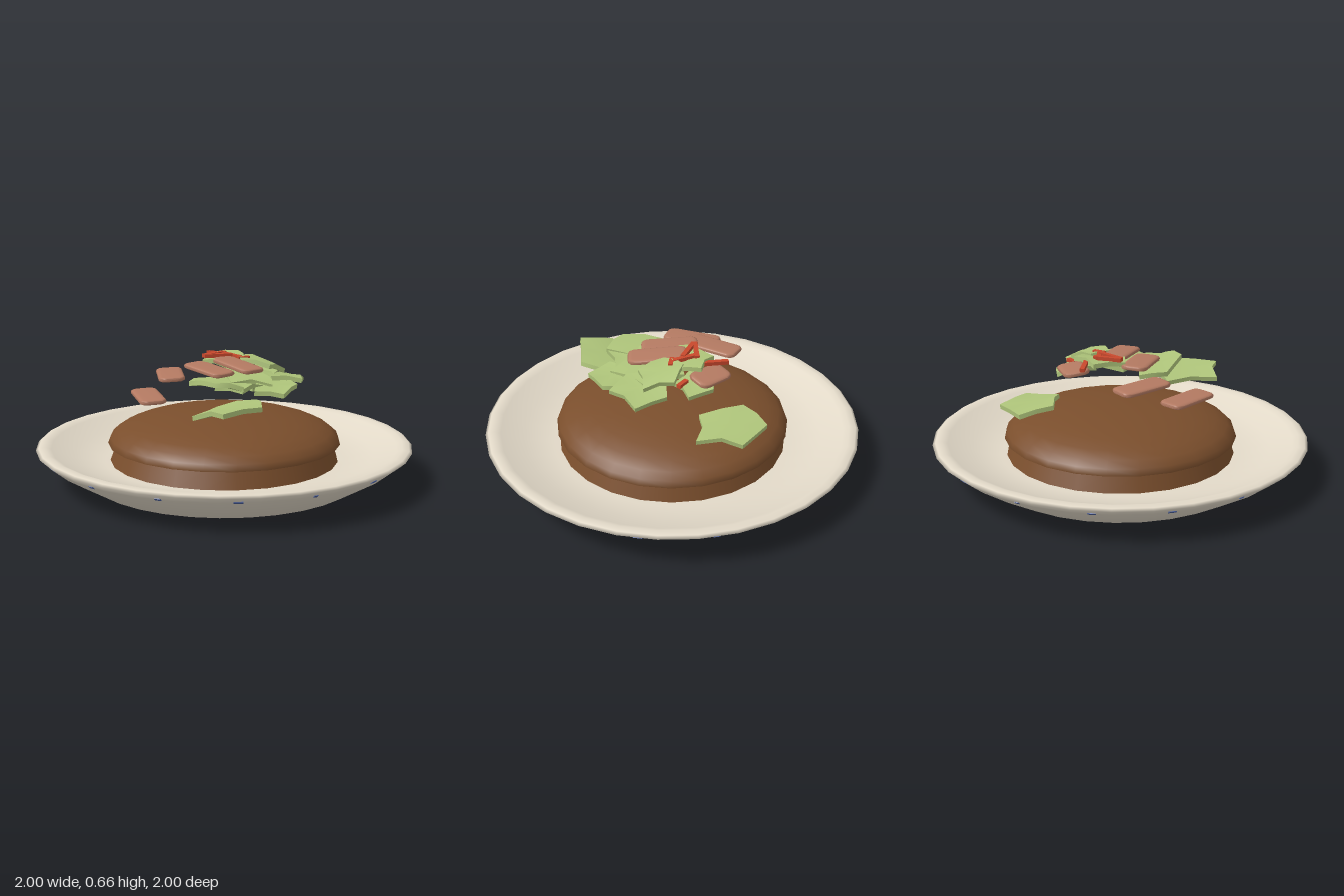
import * as THREE from 'three';
import { toCreasedNormals } from 'three/addons/utils/BufferGeometryUtils.js';

const mat = (name, color, side = THREE.FrontSide) => {
  const m = new THREE.MeshStandardMaterial({ color, side });
  m.name = name;
  return m;
};

// Ragged, gently puckered leaf slab: a fan of top, bottom and edge faces
function leafGeometry(rx, rz, seed) {
  const n = 10, t = 0.012, pos = [];
  const ring = [];
  for (let i = 0; i < n; i++) {
    const a = (i / n) * Math.PI * 2;
    const r = (i % 2 ? 0.82 : 1.06) + 0.07 * Math.sin(seed * 2.3 + i * 2.7);
    const lift = 0.008 * Math.sin(a * 2 + seed) + (i % 2 ? 0.005 : -0.005);
    ring.push([Math.cos(a) * r * rx, lift, Math.sin(a) * r * rz]);
  }
  const up = (p, d) => [p[0], p[1] + d, p[2]];
  const tri = (a, b, c) => pos.push(...a, ...b, ...c);
  for (let i = 0; i < n; i++) {
    const a = ring[i], b = ring[(i + 1) % n];
    const at = up(a, t), bt = up(b, t), ab = up(a, -t), bb = up(b, -t);
    tri([0, t, 0], bt, at);
    tri([0, -t, 0], ab, bb);
    tri(at, bt, bb);
    tri(at, bb, ab);
  }
  const g = new THREE.BufferGeometry();
  g.setAttribute('position', new THREE.Float32BufferAttribute(pos, 3));
  return toCreasedNormals(g, 0.9);
}

// Soft flat slab with rounded corners, long axis on z
function sliceGeometry(w, l) {
  const bevel = 0.022, x = w / 2 - bevel, y = l / 2 - bevel, r = 0.022;
  const s = new THREE.Shape();
  s.moveTo(-x + r, -y);
  s.lineTo(x - r, -y).quadraticCurveTo(x, -y, x, -y + r);
  s.lineTo(x, y - r).quadraticCurveTo(x, y, x - r, y);
  s.lineTo(-x + r, y).quadraticCurveTo(-x, y, -x, y - r);
  s.lineTo(-x, -y + r).quadraticCurveTo(-x, -y, -x + r, -y);
  const g = new THREE.ExtrudeGeometry(s, {
    depth: 0.004, bevelThickness: 0.011, bevelSize: bevel, bevelSegments: 3, curveSegments: 4,
  });
  g.translate(0, 0, -0.002).rotateX(-Math.PI / 2);
  return toCreasedNormals(g, 1.2);
}

export function createModel() {
  const root = new THREE.Group();
  root.name = 'plateOfFood';
  const cream = mat('cream glaze', 0xe2d9c8, THREE.DoubleSide);
  const blue = mat('blue glaze', 0x4a5f9c);
  const brown = mat('baked brown', 0x7a4e2c, THREE.DoubleSide);
  const green = mat('leaf green', 0xaec47a);
  const pink = mat('meat pink', 0xb47a62);
  const red = mat('pepper red', 0xc8482c);

  const add = (name, geometry, material, parent = root) => {
    const m = new THREE.Mesh(geometry, material);
    m.name = name;
    parent.add(m);
    return m;
  };
  // Yaw first, then tilt about the model's axes
  const place = (m, x, y, z, yaw = 0, tiltX = 0, tiltZ = 0) => {
    m.position.set(x, y, z);
    m.rotation.set(tiltX, yaw, tiltZ, 'XZY');
  };
  const group = (name) => {
    const g = new THREE.Group();
    g.name = name;
    root.add(g);
    return g;
  };

  // Plate: flat foot, flared wall, rounded lip and shallow bowl
  const profile = [
    [0, 0], [0.72, 0], [0.915, 0.115], [0.965, 0.155], [1, 0.184], [0.985, 0.196],
    [0.95, 0.2], [0.92, 0.188], [0.8, 0.14], [0.64, 0.105], [0, 0.1],
  ].map(([x, y]) => new THREE.Vector2(x, y));
  add('plate', new THREE.LatheGeometry(profile, 32), cream);

  // Painted flecks below the lip
  const flecks = group('rimFlecks');
  for (let i = 0; i < 16; i++) {
    const a = ((2 * i + 0.5) / 32) * Math.PI * 2;
    const f = add('fleck', new THREE.BoxGeometry(0.034 + 0.014 * Math.sin(i * 2.4), 0.018, 0.008), blue, flecks);
    f.position.set(Math.sin(a) * 0.963, 0.158, Math.cos(a) * 0.963);
    f.rotation.set(0.87, a, 0, 'YXZ');
  }

  // Bread: domed top over a sloping lower layer
  const dome = add('breadTop', new THREE.SphereGeometry(0.62, 24, 8, 0, Math.PI * 2, 0, Math.PI / 2), brown);
  dome.scale.y = 0.17 / 0.62;
  dome.position.y = 0.2;
  dome.rotation.y = Math.PI / 24;
  const base = add('breadBase', new THREE.CylinderGeometry(0.575, 0.612, 0.1, 24), brown);
  base.position.y = 0.148;
  base.rotation.y = Math.PI / 24;

  // Leaves: x, y, z, half width, half depth, yaw, tiltX, tiltZ
  const leaves = group('leaves');
  [
    [0.415, 0.41, -0.245, 0.15, 0.19, 0.2, 0.02, -0.12],
    [-0.27, 0.468, 0.34, 0.21, 0.145, 0.15, -0.15, 0.03],
    [-0.18, 0.555, 0.13, 0.11, 0.2, -0.15, -0.05, -0.12],
    [-0.08, 0.545, 0.2, 0.16, 0.12, 0.4, 0.06, -0.08],
    [0.06, 0.53, 0.31, 0.15, 0.12, 0.6, 0.06, 0.02],
    [0.23, 0.55, 0.19, 0.13, 0.15, -0.3, 0.05, -0.2],
    [0.06, 0.565, 0.12, 0.2, 0.16, 0.9, 0.08, 0.05],
    [0.08, 0.622, -0.08, 0.14, 0.11, 0.3, 0.1, 0.03],
    [0.18, 0.61, 0.08, 0.1, 0.13, 0.5, 0.12, -0.2],
    [0.23, 0.57, -0.1, 0.1, 0.12, 0.8, 0.08, -0.18],
  ].forEach(([x, y, z, w, d, ...rot], i) => {
    place(add('leaf', leafGeometry(w, d, i + 1), green, leaves), x, y, z, ...rot);
  });

  // Meat slices: x, y, z, length, yaw, tiltX, tiltZ
  const slices = group('meatSlices');
  [
    [-0.39, 0.473, -0.16, 0.31, -0.49, 0, 0.03],
    [-0.17, 0.545, -0.24, 0.31, -0.64, -0.03, 0.03],
    [-0.11, 0.6, 0, 0.3, -0.08, 0.05, 0.03],
    [0.02, 0.618, 0.08, 0.31, -0.1, 0.08, 0],
    [0.21, 0.59, -0.17, 0.2, 0.55, -0.05, -0.1],
  ].forEach(([x, y, z, l, ...rot]) => {
    place(add('meatSlice', sliceGeometry(0.14, l), pink, slices), x, y, z, ...rot);
  });

  // Pepper sticks: x, y, z, length, yaw, tiltX
  const sticks = group('pepperSticks');
  [
    [0.14, 0.625, -0.21, 0.13, 0.1, -0.05],
    [0.04, 0.645, -0.12, 0.15, 1.5, 0],
    [0.03, 0.645, -0.08, 0.15, 1.05, 0],
    [0.1, 0.64, -0.06, 0.14, 0.2, 0.08],
    [0.12, 0.632, 0.02, 0.07, 1.3, 0],
    [0.26, 0.585, -0.02, 0.07, 0.8, 0],
  ].forEach(([x, y, z, l, ...rot]) => {
    place(add('pepperStick', new THREE.BoxGeometry(0.024, 0.02, l), red, sticks), x, y, z, ...rot);
  });

  return root;
}
